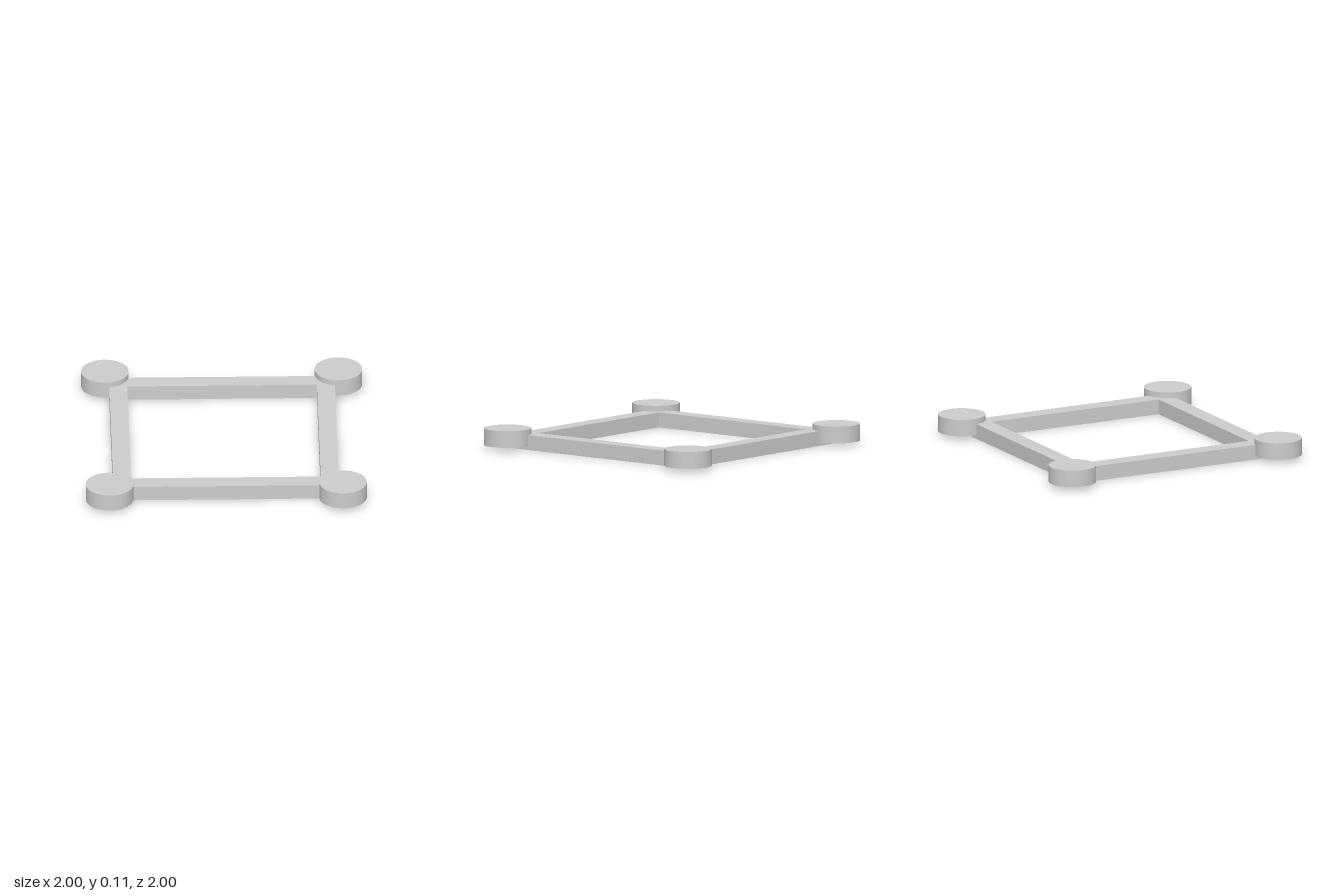
import * as THREE from 'three';

const OUTER = 0.845, INNER = 0.71, FRAME_HEIGHT = 0.08;
const DISC_RADIUS = 0.126, DISC_CENTRE = 0.874, DISC_BOTTOM = 0.02, DISC_TOP = 0.11;

// Corners of a diamond whose points lie on the axes
const diamond = (r) => [[r, 0], [0, r], [-r, 0], [0, -r]].map(([x, y]) => new THREE.Vector2(x, y));

export function createModel() {
  const model = new THREE.Group();
  model.name = 'diamondFrame';
  const material = new THREE.MeshStandardMaterial({ color: 0xcccccc });

  // Four bars joined into one open diamond
  const shape = new THREE.Shape(diamond(OUTER));
  shape.holes.push(new THREE.Path(diamond(INNER).reverse()));
  const frameGeometry = new THREE.ExtrudeGeometry(shape, { depth: FRAME_HEIGHT, bevelEnabled: false });
  frameGeometry.rotateX(-Math.PI / 2);
  const frame = new THREE.Mesh(frameGeometry, material);
  frame.name = 'frame';
  model.add(frame);

  // A round pad over each corner, raised off the ground
  const discGeometry = new THREE.CylinderGeometry(DISC_RADIUS, DISC_RADIUS, DISC_TOP - DISC_BOTTOM, 64);
  const names = ['leftPad', 'frontPad', 'rightPad', 'backPad'];
  diamond(DISC_CENTRE).forEach((p, i) => {
    const pad = new THREE.Mesh(discGeometry, material);
    pad.name = names[i];
    pad.position.set(p.x, (DISC_TOP + DISC_BOTTOM) / 2, p.y);
    model.add(pad);
  });

  return model;
}
